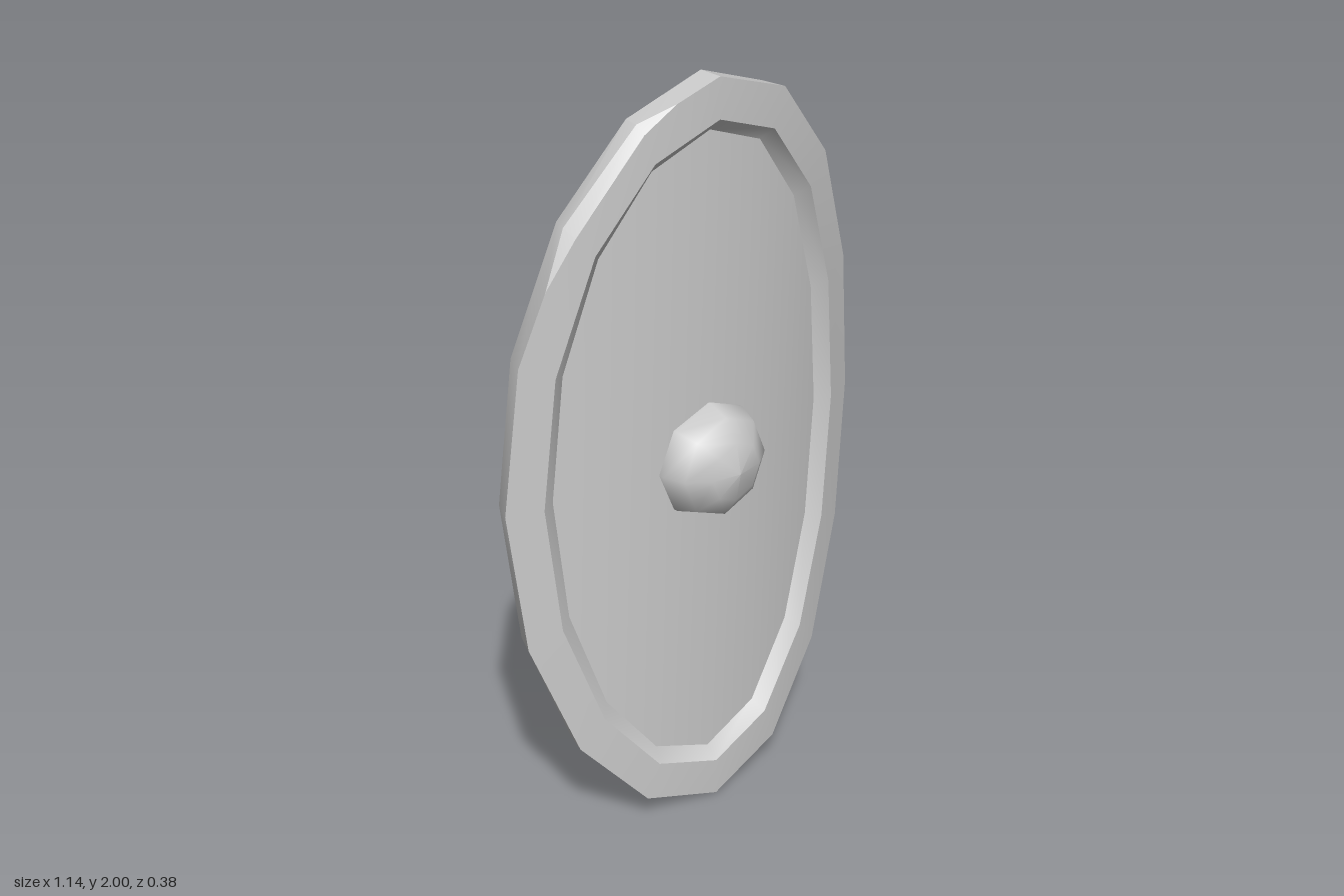
import * as THREE from 'three';
import { toCreasedNormals } from 'three/addons/utils/BufferGeometryUtils.js';

const SIDES = 16;
const R_FRONT = 1.37, R_FLOOR = 1.335, R_BACK = 1.302; // concentric bend radii
const AXIS_Z = 0.106 - R_FRONT;                        // vertical bend axis

// Oval ring wrapped on a vertical cylinder, counter-clockwise from the front
function ovalRing(radius, halfAngle, halfHeight) {
  return Array.from({ length: SIDES }, (_, i) => {
    const a = (i / SIDES) * Math.PI * 2;
    const t = -Math.sin(a) * halfAngle;
    return new THREE.Vector3(
      radius * Math.sin(t), 1 + Math.cos(a) * halfHeight, AXIS_Z + radius * Math.cos(t));
  });
}

// Adds the two points where the chip in the rim starts and ends
function splitRing(p) {
  return [p[0], p[0].clone().lerp(p[1], 0.55), p[1], p[2],
    p[2].clone().lerp(p[3], 0.44), ...p.slice(3)];
}

function shieldGeometry() {
  const positions = [];
  const tri = (a, b, c) => {
    const area = b.clone().sub(a).cross(c.clone().sub(a)).length();
    if (area > 1e-7) for (const v of [a, b, c]) positions.push(v.x, v.y, v.z);
  };
  const quad = (a, b, c, d) => { tri(a, b, c); tri(a, c, d); };

  const back = ovalRing(R_BACK, 0.43, 1);
  const floor = ovalRing(R_FLOOR, 0.335, 0.863);
  const backRim = splitRing(back);
  const front = splitRing(ovalRing(R_FRONT, 0.43, 1));
  const recess = splitRing(ovalRing(R_FRONT, 0.359, 0.896));
  const wall = front.map((v) => v.clone());

  // Chip: lower the wall's edge and pull in the face's edge
  wall[2].lerp(backRim[2], 0.32);
  wall[3].lerp(backRim[3], 0.37);
  front[2].lerp(recess[2], 0.22);
  front[3].lerp(recess[3], 0.3);

  // Outer wall, chip, rim face and bevel into the recess
  const rings = [backRim, wall, front, recess, splitRing(floor)];
  for (let r = 0; r < rings.length - 1; r++) {
    const A = rings[r], B = rings[r + 1];
    for (let i = 0; i < A.length; i++) {
      const j = (i + 1) % A.length;
      quad(A[i], A[j], B[j], B[i]);
    }
  }

  // Recess floor and back, in upright strips that follow the bend
  for (const i of [0, 1, 2, 3, 8, 9, 10, 11]) {
    const s = i < 4 ? 8 : 24;
    const k = [i, i + 1, s - i - 1, (s - i) % SIDES];
    quad(...k.map((n) => floor[n]));
    quad(...k.reverse().map((n) => back[n]));
  }

  const g = new THREE.BufferGeometry();
  g.setAttribute('position', new THREE.Float32BufferAttribute(positions, 3));
  return toCreasedNormals(g, 0.52);
}

// Low eight-sided dome at the centre of the face
function bossGeometry() {
  const profile = [new THREE.Vector2(0.155, -0.03)];
  for (let i = 0; i <= 3; i++) {
    const a = (i / 3) * Math.PI / 2;
    profile.push(new THREE.Vector2(i === 3 ? 0 : 0.155 * Math.cos(a), 0.114 * Math.sin(a)));
  }
  return new THREE.LatheGeometry(profile, 8).rotateX(Math.PI / 2).translate(0, 1, 0.076);
}

// Upright grip with rounded corners
function gripGeometry() {
  const v = (y, z) => new THREE.Vector3(0, y, z);
  const path = new THREE.CurvePath();
  path.add(new THREE.LineCurve3(v(1.172, 0.05), v(1.172, -0.08)));
  path.add(new THREE.QuadraticBezierCurve3(v(1.172, -0.08), v(1.172, -0.152), v(1.08, -0.152)));
  path.add(new THREE.LineCurve3(v(1.08, -0.152), v(0.92, -0.152)));
  path.add(new THREE.QuadraticBezierCurve3(v(0.92, -0.152), v(0.828, -0.152), v(0.828, -0.08)));
  path.add(new THREE.LineCurve3(v(0.828, -0.08), v(0.828, 0.05)));
  return new THREE.TubeGeometry(path, 24, 0.038, 8);
}

export function createModel() {
  const group = new THREE.Group();
  group.name = 'shield';
  const material = new THREE.MeshStandardMaterial({ color: 0xcccccc });
  const add = (name, geometry) => {
    const mesh = new THREE.Mesh(geometry, material);
    mesh.name = name;
    group.add(mesh);
  };
  add('shieldBody', shieldGeometry());
  add('boss', bossGeometry());
  add('grip', gripGeometry());
  return group;
}
